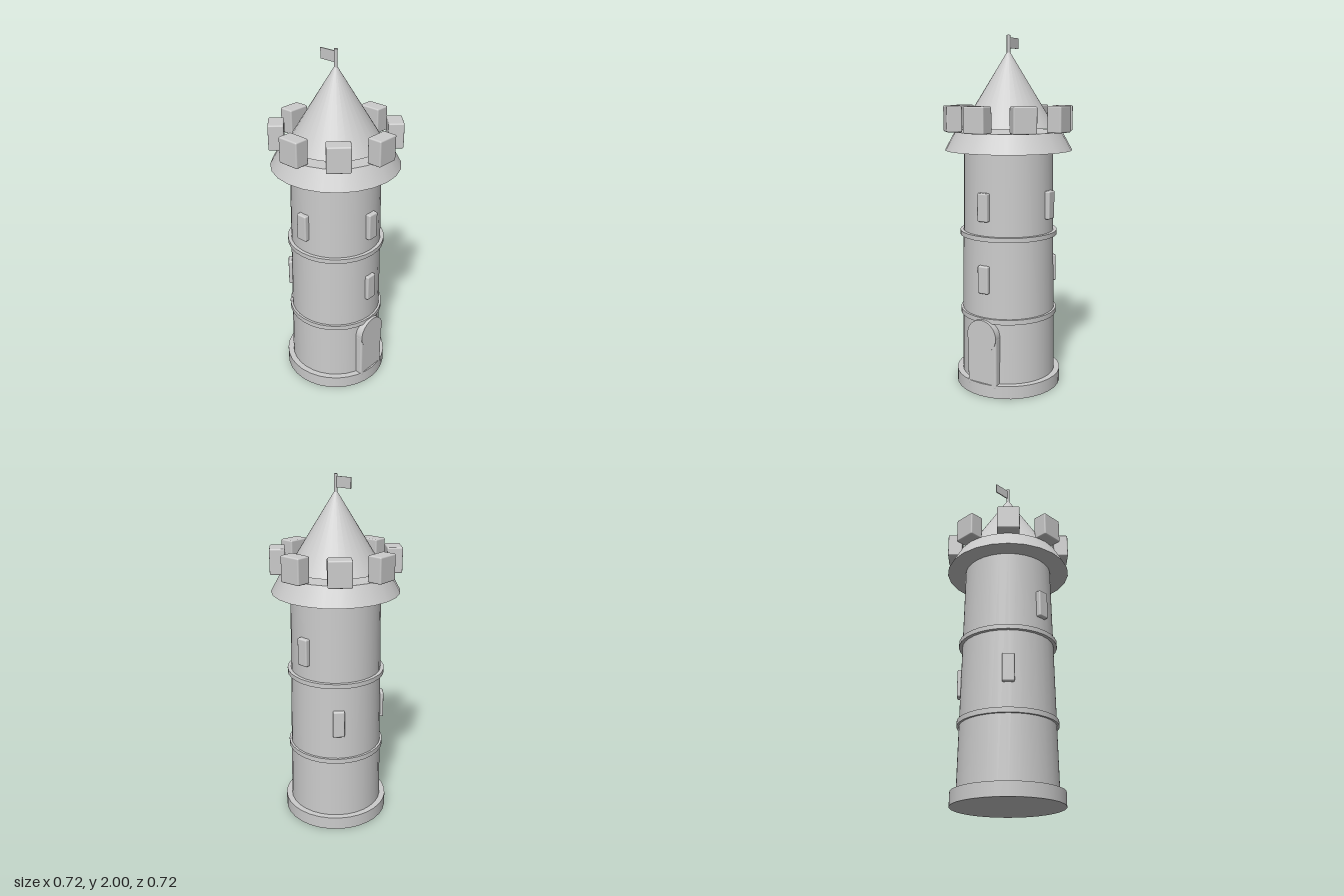
import * as THREE from 'three';
import { RoundedBoxGeometry } from 'three/addons/geometries/RoundedBoxGeometry.js';

const stone = new THREE.MeshStandardMaterial({ color: 0xcccccc });

export function createModel() {
  const tower = new THREE.Group();
  tower.name = 'tower';

  const add = (name, geometry, x = 0, y = 0, z = 0) => {
    const mesh = new THREE.Mesh(geometry, stone);
    mesh.name = name;
    mesh.position.set(x, y, z);
    tower.add(mesh);
    return mesh;
  };
  // Round section between two heights
  const drum = (name, rTop, rBottom, y0, y1, sides = 32) =>
    add(name, new THREE.CylinderGeometry(rTop, rBottom, y1 - y0, sides), 0, (y0 + y1) / 2, 0);
  // Block standing off the axis, facing outward at an angle from the front
  const radial = (name, geometry, degrees, r, y) => {
    const a = THREE.MathUtils.degToRad(degrees);
    add(name, geometry, Math.sin(a) * r, y, Math.cos(a) * r).rotation.y = a;
  };

  // Shaft with base and bands
  drum('base', 0.305, 0.305, 0, 0.075);
  drum('shaft', 0.252, 0.272, 0.04, 1.4);
  drum('lowerBand', 0.279, 0.279, 0.424, 0.452);
  drum('upperBand', 0.279, 0.279, 0.889, 0.915);

  // Flared parapet and its merlons
  drum('parapet', 0.303, 0.36, 1.37, 1.474, 24);
  const merlon = new RoundedBoxGeometry(0.128, 0.143, 0.085, 3, 0.008);
  for (let i = 0; i < 8; i++) radial('merlon', merlon, i * 45, 0.318, 1.546);

  // Pointed roof, pole and flag
  const roof = new THREE.ConeGeometry(0.263, 0.425, 32);
  add('roof', roof, 0, 1.497 + 0.2125, 0);
  drum('flagPole', 0.01, 0.01, 1.85, 2, 12);
  add('flag', new THREE.BoxGeometry(0.006, 0.058, 0.103), 0, 1.959, -0.054);

  // Arched door: a slab with a disc for the arch
  add('door', new RoundedBoxGeometry(0.188, 0.3, 0.06, 3, 0.012), 0, 0.2, 0.264);
  const arch = new THREE.CylinderGeometry(0.094, 0.094, 0.06, 32);
  arch.rotateX(Math.PI / 2);
  add('doorArch', arch, 0, 0.35, 0.265);

  // Slit windows in two rows
  const slit = new RoundedBoxGeometry(0.066, 0.157, 0.04, 3, 0.008);
  for (const degrees of [0, 135, -135]) radial('lowerWindow', slit, degrees, 0.261, 0.67);
  for (const degrees of [0, 90, -90]) radial('upperWindow', slit, degrees, 0.261, 1.075);

  return tower;
}
